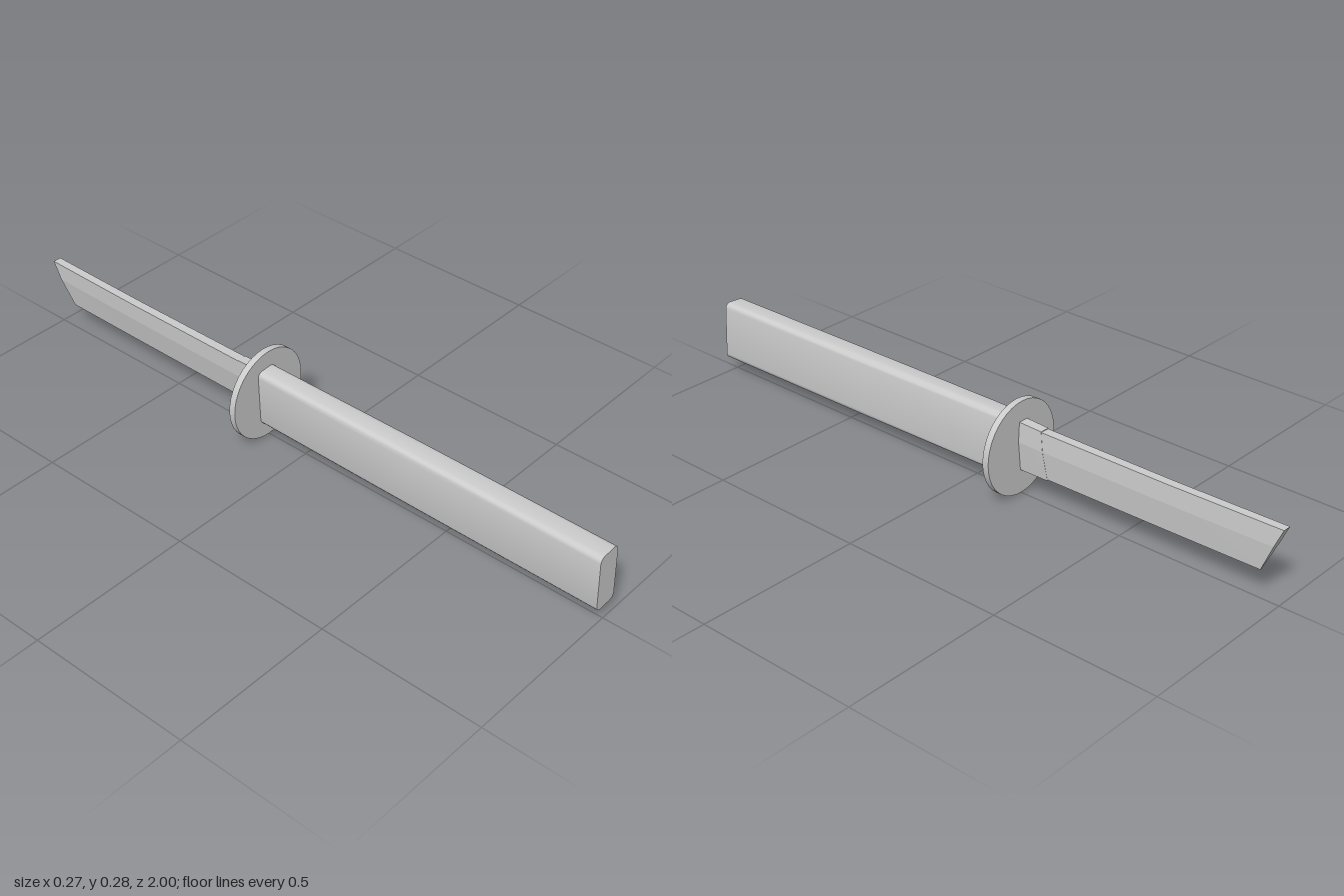
import * as THREE from 'three';
import { toCreasedNormals } from 'three/addons/utils/BufferGeometryUtils.js';

const material = new THREE.MeshStandardMaterial({ color: 0xcccccc });

// Skin over convex rings of [x, y, z] (counter-clockwise seen from +z, running towards -z), with end caps
function loft(rings, crease) {
  const pos = [];
  const tri = (...pts) => pts.forEach((p) => pos.push(...p));
  const n = rings[0].length;
  for (let r = 0; r < rings.length - 1; r++) {
    for (let i = 0; i < n; i++) {
      const j = (i + 1) % n;
      const [a, b] = [rings[r], rings[r + 1]];
      tri(a[i], b[i], a[j]);
      tri(a[j], b[i], b[j]);
    }
  }
  const first = rings[0], last = rings[rings.length - 1];
  for (let i = 1; i < n - 1; i++) {
    tri(first[0], first[i], first[i + 1]);
    tri(last[0], last[i + 1], last[i]);
  }
  const geometry = new THREE.BufferGeometry();
  geometry.setAttribute('position', new THREE.Float32BufferAttribute(pos, 3));
  return toCreasedNormals(geometry, crease);
}

// Rounded rectangle, leaning slightly to one side
function handleRing(cx, cy, width, height, z, lean = 0.05) {
  const r = 0.017, steps = 4, ring = [];
  [[1, 1], [-1, 1], [-1, -1], [1, -1]].forEach(([sx, sy], corner) => {
    for (let k = 0; k <= steps; k++) {
      const a = (corner + k / steps) * Math.PI / 2;
      const x = sx * (width / 2 - r) + r * Math.cos(a);
      const y = sy * (height / 2 - r) + r * Math.sin(a);
      ring.push([cx + x - y * lean, cy + y + x * lean, z]);
    }
  });
  return ring;
}

// Blade section: flat spine, parallel flats, then a wedge down to the edge
function bladeRing(top, bottom, half, zTop, zBottom) {
  const ridge = bottom + (top - bottom) * 0.6;
  const outline = [[half, top], [-half, top], [-half, ridge], [-0.002, bottom], [0.002, bottom], [half, ridge]];
  return outline.map(([x, y]) => [
    x - 0.002 - (y - 0.15) * 0.05, y,
    zBottom + (zTop - zBottom) * (y - bottom) / (top - bottom),
  ]);
}

export function createModel() {
  const group = new THREE.Group();
  const add = (name, geometry) => {
    const mesh = new THREE.Mesh(geometry, material);
    mesh.name = name;
    group.add(mesh);
    return mesh;
  };

  // Handle, shifting and narrowing slightly towards the guard
  add('handle', loft([
    handleRing(-0.002, 0.135, 0.074, 0.182, 1),
    handleRing(-0.002, 0.138, 0.073, 0.182, 0.4),
    handleRing(-0.003, 0.141, 0.067, 0.181, -0.145),
  ], 0.5));

  // Round guard
  const disc = new THREE.CylinderGeometry(0.137, 0.137, 0.02, 40);
  disc.rotateX(Math.PI / 2).scale(1, 1.03, 1);
  add('guard', toCreasedNormals(disc, 0.6)).position.set(0, 0.1415, -0.15);

  // Collar around the root of the blade
  add('collar', loft([
    bladeRing(0.222, 0.073, 0.016, -0.155, -0.155),
    bladeRing(0.219, 0.074, 0.015, -0.235, -0.255),
  ], 0.1));

  // Blade with a slanted tip
  add('blade', loft([
    bladeRing(0.217, 0.077, 0.0145, -0.2, -0.2),
    bladeRing(0.217, 0.08, 0.0135, -0.65, -0.65),
    bladeRing(0.222, 0.083, 0.013, -1, -0.94),
  ], 0.1));

  return group;
}
